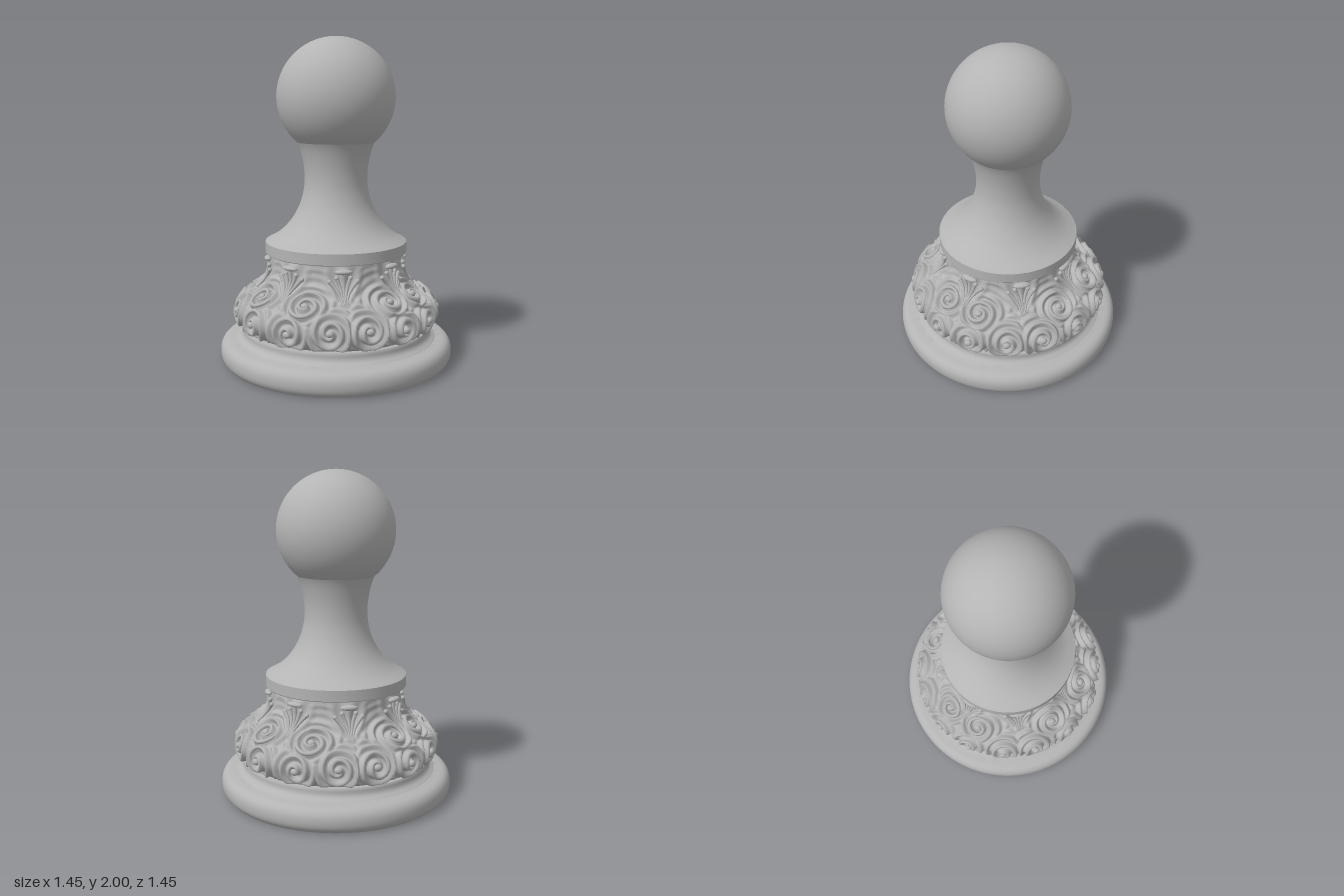
import * as THREE from 'three';
import { mergeVertices, mergeGeometries, toCreasedNormals } from 'three/addons/utils/BufferGeometryUtils.js';

const V2 = (a) => new THREE.Vector2(a[0], a[1]);
const spline = (pts, n) => new THREE.SplineCurve(pts.map(V2)).getSpacedPoints(n);
const RAD = Math.PI / 180;

// Carved band profile (radius, height), from bottom to top
const band = new THREE.SplineCurve([
  [0.565, 0.22], [0.6, 0.27], [0.61, 0.33], [0.575, 0.395], [0.495, 0.45],
  [0.43, 0.51], [0.398, 0.58], [0.395, 0.68],
].map(V2));
const L = band.getLength();

// Scrolls of one quarter: angle from the front, distance up the band, radius, turning direction
const scrolls = [
  { a: 19, v: 0.28, r: 0.115, h: 1 },
  { a: 13, v: 0.11, r: 0.105, h: -1 },
  { a: 36, v: 0.13, r: 0.12, h: 1 },
  { a: 57, v: 0.13, r: 0.11, h: -1 },
  { a: 77, v: 0.29, r: 0.11, h: -1 },
  { a: 79, v: 0.11, r: 0.1, h: 1 },
];
const PITCH = 0.05;
const smooth = THREE.MathUtils.smoothstep;

// Fold any angle in degrees into the quarter 0..90
const fold = (deg) => {
  const d = ((deg % 180) + 180) % 180;
  return d > 90 ? 180 - d : d;
};

// Height of the carving at an angle (degrees) and distance up the band
function relief(deg, v, radius) {
  const f = fold(deg);
  const k = RAD * radius;
  const edge = smooth(v, 0, 0.04) * (1 - smooth(v, L - 0.05, L));

  // nearest scroll: grooves winding round its eye
  let best = 1e9, second = 1e9, phase = 0;
  for (const s of scrolls) {
    const x = (f - s.a) * k, y = v - s.v;
    const rho = Math.hypot(x, y), d = rho / s.r;
    if (d < best) {
      second = best;
      best = d;
      phase = s.h * Math.atan2(y, x) + (2 * Math.PI * rho) / PITCH;
    } else if (d < second) second = d;
  }
  const seam = smooth(second - best, 0, 0.25);
  const scroll = (0.5 + 0.5 * Math.sin(phase)) * (0.4 + 0.6 * seam)
    * (1.1 - 0.5 * smooth(best, 0.8, 1.6));

  // fan of flutes at each eighth of the ring
  const x = (f - Math.round(f / 45) * 45) * k;
  const y = v - 0.27;
  const fan = 0.5 + 0.5 * Math.cos(Math.atan2(x, y) * 13);
  const w = smooth(v, 0.3, 0.4) * (1 - smooth(Math.abs(x), 0.07, 0.13));
  const upper = 1 - 0.75 * smooth(v, 0.38, 0.46);
  return edge * (0.03 * scroll * upper * (1 - w) + 0.022 * fan * w);
}

// Point on the band surface, raised by lift
function onBand(deg, v, lift) {
  const t = THREE.MathUtils.clamp(v / L, 0, 1);
  const p = band.getPointAt(t), g = band.getTangentAt(t);
  const r = p.x + g.y * lift, y = p.y - g.x * lift;
  return new THREE.Vector3(Math.sin(deg * RAD) * r, y, Math.cos(deg * RAD) * r);
}

// Tube through points whose thickness follows width(t)
function taperedTube(points, segs, width) {
  const curve = new THREE.CatmullRomCurve3(points);
  const geo = new THREE.TubeGeometry(curve, segs, 1, 6, false);
  const pos = geo.attributes.position, p = new THREE.Vector3();
  for (let i = 0; i <= segs; i++) {
    const c = curve.getPointAt(i / segs);
    for (let j = 0; j <= 6; j++) {
      const n = i * 7 + j;
      p.fromBufferAttribute(pos, n).sub(c).multiplyScalar(width(i / segs)).add(c);
      pos.setXYZ(n, p.x, p.y, p.z);
    }
  }
  return geo;
}

function bead(deg, v, lift, sx, sy, sz) {
  const g = new THREE.SphereGeometry(1, 12, 8);
  const p = onBand(deg, v, lift);
  const t = band.getTangentAt(Math.min(v / L, 1));
  g.scale(sx, sy, sz);
  g.rotateX(Math.atan2(t.x, t.y));
  g.rotateY(deg * RAD);
  return g.translate(p.x, p.y, p.z);
}

export function createModel() {
  const group = new THREE.Group();
  const stone = new THREE.MeshStandardMaterial({ color: 0xb4b4b4 });
  stone.name = 'plain grey';
  const add = (name, geo) => {
    const m = new THREE.Mesh(geo, stone);
    m.name = name;
    group.add(m);
  };
  const turned = (name, pts) =>
    add(name, toCreasedNormals(new THREE.LatheGeometry(pts, 96), 0.6));

  // Round foot with a step and cove
  turned('foot', [
    V2([0, 0]), V2([0.695, 0]),
    ...spline([[0.7, 0.004], [0.72, 0.03], [0.727, 0.065], [0.722, 0.105], [0.7, 0.135], [0.665, 0.147]], 14),
    V2([0.625, 0.15]),
    ...spline([[0.622, 0.153], [0.6, 0.167], [0.591, 0.185], [0.59, 0.21]], 6),
    V2([0.585, 0.218]), V2([0.5, 0.222]),
  ]);

  // Carved band, displaced outward by the relief rule
  const rows = 100, cols = 448;
  const carved = new THREE.LatheGeometry(band.getSpacedPoints(rows), cols);
  const pos = carved.attributes.position, nor = carved.attributes.normal;
  for (let i = 0; i < pos.count; i++) {
    const row = i % (rows + 1), deg = (Math.floor(i / (rows + 1)) / cols) * 360;
    const r = Math.hypot(pos.getX(i), pos.getZ(i));
    const d = relief(deg, (row / rows) * L, r);
    pos.setXYZ(i, pos.getX(i) + nor.getX(i) * d, pos.getY(i) + nor.getY(i) * d, pos.getZ(i) + nor.getZ(i) * d);
  }
  carved.deleteAttribute('uv');
  carved.deleteAttribute('normal');
  const bandGeo = mergeVertices(carved, 1e-5);
  bandGeo.computeVertexNormals();
  add('carvedBand', bandGeo);

  // Raised volutes and their eyes, mirrored into four quarters
  const volutes = [], eyes = [];
  for (const s of scrolls) {
    const k = RAD * band.getPointAt(s.v / L).x;
    for (const place of [(a) => a, (a) => -a, (a) => 180 - a, (a) => 180 + a]) {
      const pts = [];
      for (let i = 0; i <= 28; i++) {
        const rho = 0.02 + (s.r * 0.85 - 0.02) * (i / 28);
        const th = s.h * (Math.PI / 2 - (2 * Math.PI * rho) / PITCH);
        const v = Math.max(0.03, s.v + rho * Math.sin(th));
        pts.push(onBand(place(s.a + (rho * Math.cos(th)) / k), v, 0.022));
      }
      volutes.push(taperedTube(pts, 40, (t) => 0.003 + 0.011 * Math.sin(Math.PI * (0.15 + 0.85 * t))));
      eyes.push(bead(place(s.a), s.v, 0.022, 0.024, 0.02, 0.018));
    }
  }
  add('volutes', mergeGeometries(volutes));
  add('voluteEyes', mergeGeometries(eyes));

  // Eight palmettes: fanned fingers with curled tips under the collar
  const fingers = [], tips = [];
  for (let i = 0; i < 8; i++) {
    const deg = i * 45;
    for (let j = -2; j <= 2; j++) {
      const top = L - 0.05 - 0.025 * Math.abs(j);
      const pts = [0, 0.35, 0.7, 1].map((t) =>
        onBand(deg + j * (0.8 + 4.6 * t * t), 0.3 + (top - 0.3) * t, 0.012 + 0.014 * t));
      fingers.push(taperedTube(pts, 12, (t) => 0.004 + 0.009 * t));
      if (j) tips.push(bead(deg + j * 5.5, top, 0.026, 0.014, 0.014, 0.014));
    }
    tips.push(bead(deg, L - 0.037, 0.03, 0.055, 0.016, 0.024));
  }
  add('palmetteFingers', mergeGeometries(fingers));
  add('palmetteTips', mergeGeometries(tips));

  // Flat collar
  turned('collar', [
    V2([0.36, 0.678]), V2([0.437, 0.68]), V2([0.44, 0.684]), V2([0.44, 0.75]), V2([0.435, 0.754]), V2([0.3, 0.756]),
  ]);

  // Flared stem
  add('stem', new THREE.LatheGeometry(spline([
    [0.435, 0.753], [0.36, 0.797], [0.29, 0.865], [0.235, 0.955], [0.204, 1.05], [0.195, 1.13],
    [0.2, 1.22], [0.222, 1.32], [0.255, 1.39], [0.298, 1.43],
  ], 32), 96));

  // Ball top
  const ball = new THREE.SphereGeometry(0.364, 96, 48);
  ball.translate(0, 1.636, 0);
  add('ball', ball);

  return group;
}
